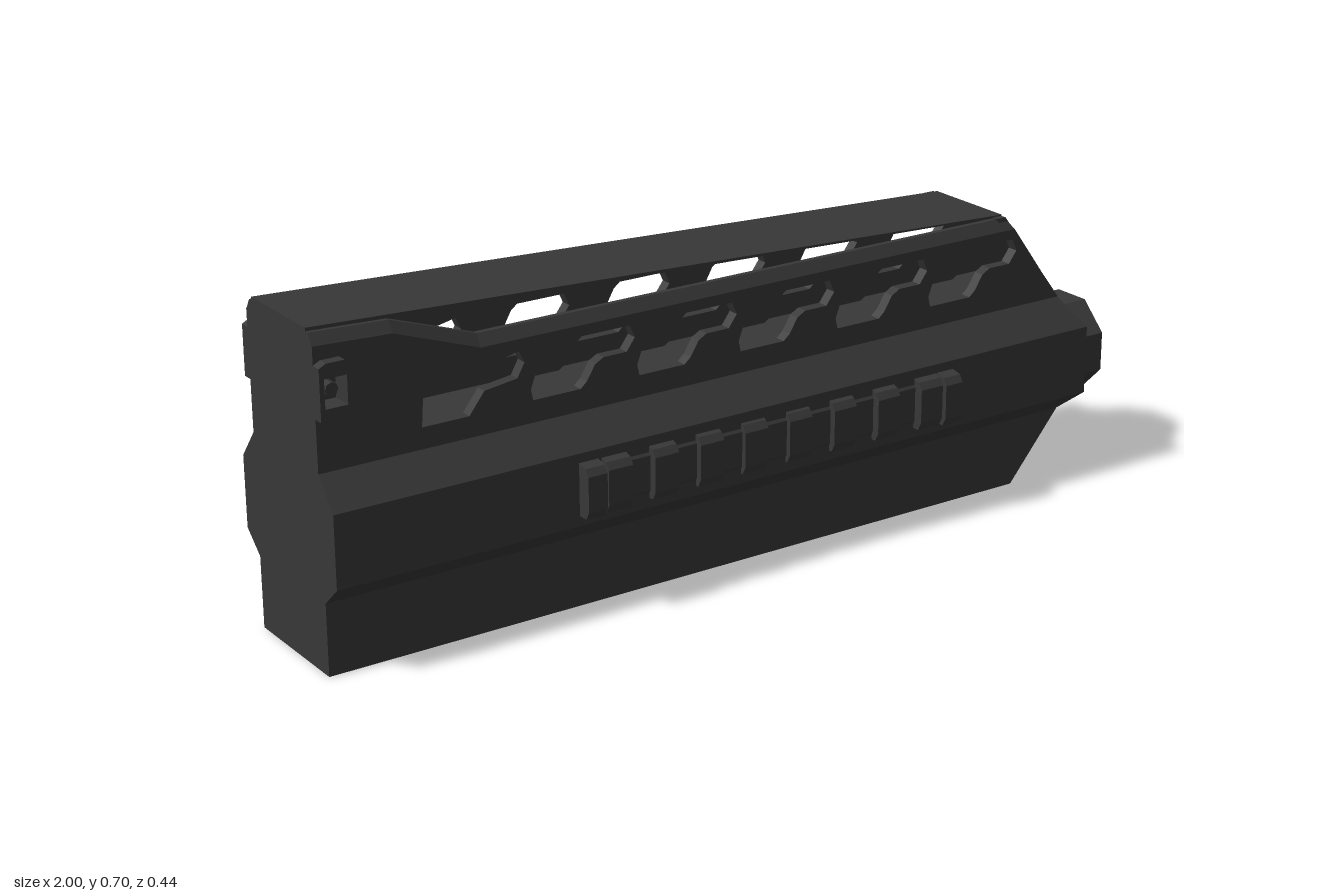
import * as THREE from 'three';

const darkGrey = new THREE.MeshStandardMaterial({ color: 0x383838, side: THREE.DoubleSide, flatShading: true });
darkGrey.name = 'darkGrey';

// Closed solid through cross-sections, each a list of [x, y, z]
function loft(sections) {
  const p = [];
  const n = sections[0].length;
  for (let i = 0; i + 1 < sections.length; i++) {
    const s = sections[i], t = sections[i + 1];
    for (let j = 0; j < n; j++) {
      const k = (j + 1) % n;
      p.push(...s[j], ...s[k], ...t[k], ...s[j], ...t[k], ...t[j]);
    }
  }
  const a = sections[0], b = sections[sections.length - 1];
  for (let j = 1; j + 1 < n; j++) {
    p.push(...a[0], ...a[j + 1], ...a[j], ...b[0], ...b[j], ...b[j + 1]);
  }
  const g = new THREE.BufferGeometry();
  g.setAttribute('position', new THREE.Float32BufferAttribute(p, 3));
  g.computeVertexNormals();
  return g;
}

// Copy of a geometry on the other side, with its corner order restored
function mirrorZ(geometry) {
  const src = (geometry.index ? geometry.toNonIndexed() : geometry).getAttribute('position');
  const p = [];
  for (let i = 0; i < src.count; i += 3) {
    for (const k of [i, i + 2, i + 1]) p.push(src.getX(k), src.getY(k), -src.getZ(k));
  }
  const g = new THREE.BufferGeometry();
  g.setAttribute('position', new THREE.Float32BufferAttribute(p, 3));
  g.computeVertexNormals();
  return g;
}

const outline = (pts) => pts.map(([x, y]) => new THREE.Vector2(x, y));

function extrude(pts, holes, depth, z) {
  const shape = new THREE.Shape(outline(pts));
  for (const h of holes) shape.holes.push(new THREE.Path(outline(h)));
  const g = new THREE.ExtrudeGeometry(shape, { depth, bevelEnabled: false });
  return g.translate(0, 0, z);
}

export function createModel() {
  const model = new THREE.Group();
  model.name = 'casing';
  const add = (name, geometry) => {
    const m = new THREE.Mesh(geometry, darkGrey);
    m.name = name;
    model.add(m);
    return m;
  };
  const addPair = (name, geometry) => {
    add(name + 'Left', geometry);
    add(name + 'Right', mirrorZ(geometry));
  };

  // Lower body: rows of height, half width and front end
  const rows = [
    [0, 0.138, 0.72], [0.155, 0.138, 0.85], [0.2, 0.188, 0.885],
    [0.355, 0.188, 0.885], [0.42, 0.135, 0.84],
  ];
  add('lowerBody', loft(rows.map(([y, w, f]) => [[-1, y, -w], [-1, y, w], [f, y, w], [f, y, -w]])));

  // Upper side walls with stepped slots and a rear pin hole
  const slots = [[[-0.775, 0.465], [-0.67, 0.465], [-0.635, 0.51], [-0.56, 0.52], [-0.543, 0.55], [-0.555, 0.575], [-0.77, 0.53]]];
  for (let i = 0; i < 5; i++) {
    const x = -0.525 + i * 0.25;
    slots.push([
      [0, 0.467], [0.11, 0.467], [0.125, 0.48], [0.145, 0.512], [0.165, 0.523], [0.22, 0.523],
      [0.24, 0.55], [0.228, 0.577], [0.115, 0.577], [0.1, 0.565], [0.08, 0.53], [0.06, 0.517],
      [0.005, 0.517], [-0.005, 0.49],
    ].map(([dx, y]) => [x + dx, y]));
  }
  const pinHole = [[-0.99, 0.555], [-0.942, 0.555], [-0.942, 0.615], [-0.99, 0.615]];
  const wall = [[-1, 0.42], [0.84, 0.42], [0.708, 0.6], [-0.64, 0.6], [-0.83, 0.667], [-1, 0.675]];
  addPair('slottedWall', extrude(wall, [...slots, pinHole], 0.025, 0.11));

  // Bevelled rails along the wall tops
  const rail = [[-1, 0.698], [-0.83, 0.69], [-0.64, 0.625], [0.69, 0.625]];
  addPair('topRail', loft(rail.map(([x, y], i) => {
    const low = i === 3 ? x + 0.018 : x;
    return [[low, y - 0.025, 0.108], [x, y, 0.108], [x, y, 0.12], [low, y - 0.025, 0.135]];
  })));

  // Sloped front plate, rear plate and thin sloping top cover
  add('frontPlate', loft([[0.42, 0.135, 0.842], [0.627, 0.124, 0.69]].map(([y, w, f]) =>
    [[f - 0.025, y, -w], [f - 0.025, y, w], [f, y, w], [f, y, -w]])));
  add('rearPlate', new THREE.BoxGeometry(0.01, 0.28, 0.24)).position.set(-0.995, 0.555, 0);
  add('topCover', loft([[-1, 0.695, 0.705], [0.69, 0.627, 0.63]].map(([x, a, b]) =>
    [[x, a, -0.111], [x, b, -0.111], [x, b, 0.111], [x, a, 0.111]])));

  // Raised collar around each pin hole, and the pin
  const collar = [[-1, 0.53], [-0.985, 0.522], [-0.945, 0.522], [-0.93, 0.54], [-0.93, 0.63], [-0.945, 0.645], [-0.985, 0.645], [-1, 0.637]];
  addPair('pinCollar', extrude(collar, [pinHole], 0.028, 0.13));
  add('pin', new THREE.CylinderGeometry(0.014, 0.014, 0.28, 8).rotateX(Math.PI / 2)).position.set(-0.966, 0.585, 0);

  // Grip strips: thin base, raised blocks, taller end posts
  const bar = (x0, x1, z) => loft([x0, x1].map((x) => [
    [x, 0.222, 0.18], [x, 0.337, 0.18], [x, 0.33, z - 0.01], [x, 0.315, z], [x, 0.24, z], [x, 0.222, z - 0.01],
  ]));
  addPair('gripBase', bar(-0.45, 0.5, 0.192));
  for (let i = 0; i < 8; i++) {
    const x = -0.373 + i * 0.1137;
    addPair('gripBlock' + (i + 1), bar(x - 0.029, x + 0.029, 0.202 + 0.012 * Math.abs(i - 3.5) / 3.5));
  }
  addPair('gripPostRear', bar(-0.455, -0.41, 0.222));
  addPair('gripPostFront', bar(0.455, 0.5, 0.222));

  // Eight-sided front nose
  const nose = new THREE.CylinderGeometry(0.116, 0.116, 0.17, 8, 1, false, Math.PI / 8).rotateZ(-Math.PI / 2);
  add('nose', nose).position.set(0.915, 0.253, 0.008);

  return model;
}
